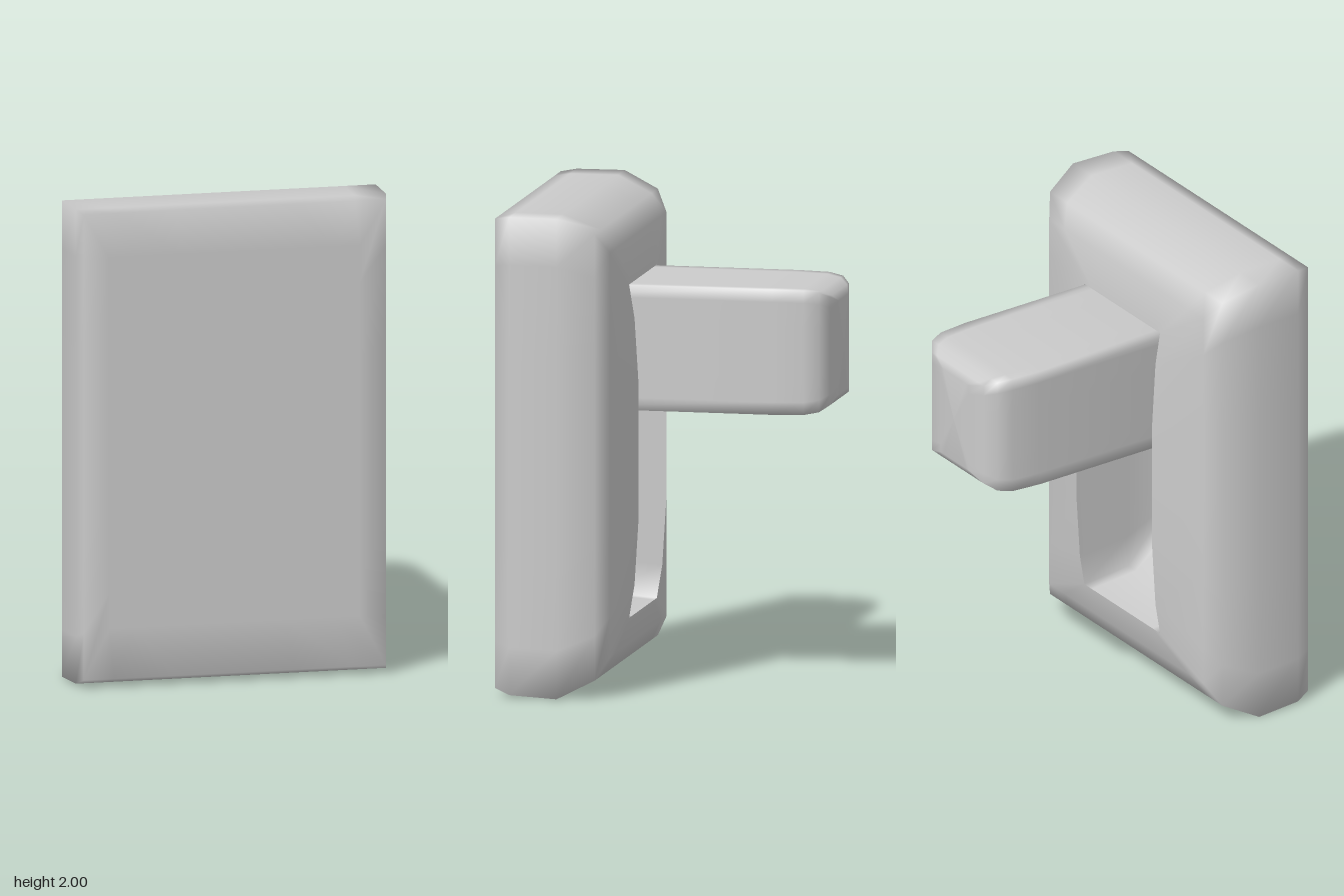
import * as THREE from 'three';

const STEPS = [-1, -0.8, -0.4, 0, 0.4, 0.8];

// Rectangular loop, counter-clockwise seen from the front; bend(t) shifts z along the height
function rectLoop(halfX, y0, y1, z, bend = () => 0) {
  const cy = (y0 + y1) / 2, hy = (y1 - y0) / 2;
  const sides = [(u) => [1, u], (u) => [-u, 1], (u) => [-1, -u], (u) => [u, -1]];
  return sides.flatMap((side) => STEPS.map((u) => {
    const [a, b] = side(u);
    return new THREE.Vector3(a * halfX, cy + b * hy, z + bend(b));
  }));
}

// Smooth skin through successive loops
function skin(name, loops, material) {
  const n = loops[0].length, index = [];
  for (let k = 0; k < loops.length - 1; k++) {
    for (let i = 0; i < n; i++) {
      const a = k * n + i, b = k * n + (i + 1) % n;
      index.push(a, a + n, b + n, a, b + n, b);
    }
  }
  const geometry = new THREE.BufferGeometry().setFromPoints(loops.flat());
  geometry.setIndex(index);
  geometry.computeVertexNormals();
  const mesh = new THREE.Mesh(geometry, material);
  mesh.name = name;
  return mesh;
}

export function createModel() {
  const group = new THREE.Group();
  group.name = 'wallSwitch';
  const grey = new THREE.MeshStandardMaterial({ color: 0xcccccc, side: THREE.DoubleSide });

  // The slot rim rises in the middle of its height
  const rimBend = (t) => 0.04 * Math.max(0, (Math.abs(t) - 0.65) / 0.35);
  const rim = () => rectLoop(0.27, 0.29, 1.675, 0.14, rimBend);

  // Plate: flat front, soft sides, bevelled back up to the slot rim
  group.add(skin('plate', [
    rectLoop(0, 1, 1, 0.663),
    rectLoop(0.53, 0.25, 1.8, 0.663),
    rectLoop(0.64, 0.04, 1.99, 0.663),
    rectLoop(0.658, 0.015, 2, 0.6),
    rectLoop(0.665, 0.005, 2, 0.4),
    rectLoop(0.615, 0.08, 1.935, 0.25),
    rectLoop(0.55, 0.17, 1.85, 0.2),
    rim(),
  ], grey));

  // Slot: walls running in to a floor just behind the front
  group.add(skin('slot', [
    rim(),
    rectLoop(0.27, 0.31, 1.675, 0.4),
    rectLoop(0.265, 0.42, 1.67, 0.6),
    rectLoop(0.22, 0.5, 1.6, 0.63),
    rectLoop(0, 1, 1, 0.63),
  ], grey));

  // Lever: straight bar with a rounded end; rows are z, half width, half height
  const sections = [
    [0.62, 0, 0], [0.62, 0.267, 0.26], [-0.42, 0.267, 0.26], [-0.55, 0.257, 0.258],
    [-0.61, 0.234, 0.248], [-0.645, 0.185, 0.225], [-0.66, 0.1, 0.195], [-0.665, 0, 0],
  ];
  group.add(skin('lever',
    sections.map(([z, hx, hy]) => rectLoop(hx, 1.413 - hy, 1.413 + hy, z)), grey));

  return group;
}
